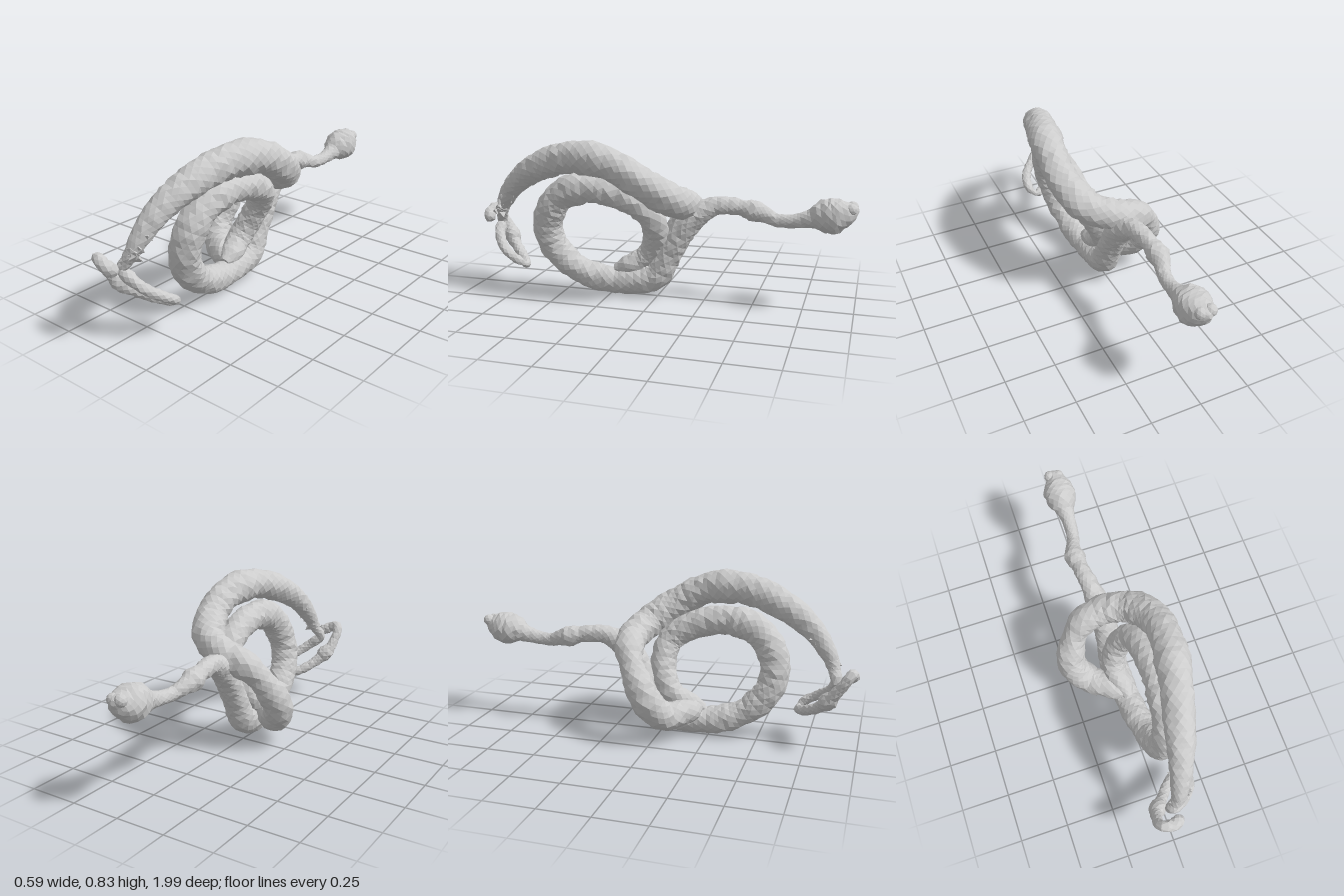
import * as THREE from 'three';

const material = new THREE.MeshStandardMaterial({ color: 0xcccccc, flatShading: true });

// Repeatable noise in -1..1, used to roughen the skin
function noise(i, j) {
  const s = Math.sin(i * 127.1 + j * 311.7) * 43758.5453;
  return (s - Math.floor(s)) * 2 - 1;
}

// Closed tube swept through knots [x, y, z, radius]
function strand(name, knots, steps, sides, rough = 0.06) {
  const curve = new THREE.CatmullRomCurve3(knots.map(k => new THREE.Vector3(k[0], k[1], k[2])));
  const radii = new THREE.CatmullRomCurve3(knots.map(k => new THREE.Vector3(k[3], 0, 0)));
  curve.arcLengthDivisions = 400;
  const frames = curve.computeFrenetFrames(steps, false);
  const pos = [], index = [];
  for (let i = 0; i <= steps; i++) {
    const t = curve.getUtoTmapping(i / steps);
    const p = curve.getPoint(t);
    const r = Math.max(0.004, radii.getPoint(t).x);
    for (let j = 0; j < sides; j++) {
      const a = (j + (i % 2) * 0.5) / sides * Math.PI * 2;
      const rr = r * (1 + rough * noise(i, j));
      const v = p.clone()
        .addScaledVector(frames.normals[i], Math.cos(a) * rr)
        .addScaledVector(frames.binormals[i], Math.sin(a) * rr);
      pos.push(v.x, v.y, v.z);
    }
  }
  for (let i = 0; i < steps; i++) {
    for (let j = 0; j < sides; j++) {
      const k = (j + 1) % sides;
      const a = i * sides + j, b = i * sides + k, c = a + sides, d = b + sides;
      // alternate the diagonal to suit the half-turn between rings
      if (i % 2) index.push(a, b, d, a, d, c);
      else index.push(a, b, c, b, d, c);
    }
  }
  // end caps
  for (const [i, flip] of [[0, true], [steps, false]]) {
    const c = pos.length / 3, p = curve.getPointAt(i / steps);
    pos.push(p.x, p.y, p.z);
    for (let j = 0; j < sides; j++) {
      const a = i * sides + j, b = i * sides + (j + 1) % sides;
      if (flip) index.push(c, b, a);
      else index.push(c, a, b);
    }
  }
  const g = new THREE.BufferGeometry();
  g.setAttribute('position', new THREE.Float32BufferAttribute(pos, 3));
  g.setIndex(index);
  g.computeVertexNormals();
  const mesh = new THREE.Mesh(g, material);
  mesh.name = name;
  return mesh;
}

export function createModel() {
  const model = new THREE.Group();
  model.name = 'coiledSnake';

  // Upper arch, crossing the back and curling down the -x side
  model.add(strand('upperCoil', [
    [0.04, 0.41, 0.865, 0.03], [0.06, 0.49, 0.82, 0.045], [0.095, 0.605, 0.715, 0.062],
    [0.14, 0.698, 0.55, 0.077], [0.185, 0.745, 0.36, 0.08], [0.215, 0.72, 0.17, 0.08],
    [0.207, 0.635, 0.02, 0.08], [0.135, 0.55, -0.1, 0.08], [0.01, 0.5, -0.15, 0.078],
    [-0.12, 0.45, -0.135, 0.074], [-0.2, 0.33, -0.07, 0.074], [-0.215, 0.215, -0.005, 0.076],
    [-0.15, 0.135, 0.06, 0.074], [-0.06, 0.135, 0.14, 0.065], [0.0, 0.135, 0.185, 0.05],
    [0.02, 0.135, 0.21, 0.02],
  ], 90, 13));

  // Lower ring, running into the thin neck
  model.add(strand('lowerCoil', [
    [0.02, 0.135, 0.225, 0.025], [0.01, 0.155, 0.16, 0.055], [-0.01, 0.21, 0.06, 0.062],
    [0.03, 0.33, 0.0, 0.065], [0.1, 0.465, 0.02, 0.068], [0.125, 0.555, 0.16, 0.073],
    [0.13, 0.582, 0.34, 0.076], [0.118, 0.535, 0.48, 0.076], [0.096, 0.41, 0.562, 0.076],
    [0.073, 0.28, 0.56, 0.075], [0.05, 0.16, 0.47, 0.073], [0.03, 0.09, 0.33, 0.073],
    [0.015, 0.075, 0.17, 0.073], [0.005, 0.11, 0.01, 0.074], [0.005, 0.225, -0.06, 0.066],
    [0.005, 0.36, -0.135, 0.064], [0.0, 0.445, -0.21, 0.058], [-0.015, 0.5, -0.3, 0.044],
  ], 110, 13));

  // Neck and rounded head
  model.add(strand('neckAndHead', [
    [0.0, 0.455, -0.2, 0.065], [-0.015, 0.497, -0.3, 0.047], [-0.03, 0.497, -0.4, 0.044],
    [-0.035, 0.472, -0.52, 0.044], [-0.01, 0.445, -0.61, 0.033], [0.0, 0.45, -0.7, 0.035],
    [0.0, 0.465, -0.77, 0.046], [0.0, 0.48, -0.82, 0.077], [0.0, 0.49, -0.88, 0.086],
    [0.0, 0.505, -0.94, 0.062], [-0.005, 0.52, -0.975, 0.035], [-0.01, 0.525, -0.995, 0.012],
  ], 48, 12, 0.07));

  // Nostril bumps on the snout
  for (const [x, y, z] of [[0.02, 0.525, -0.96], [-0.025, 0.53, -0.965]]) {
    const bump = new THREE.Mesh(new THREE.IcosahedronGeometry(0.03, 1), material);
    bump.position.set(x, y, z);
    bump.name = 'snoutBump';
    model.add(bump);
  }

  // Thin tail, folded into a narrow slanting loop
  model.add(strand('tailLoop', [
    [0.055, 0.45, 0.845, 0.04], [0.025, 0.39, 0.87, 0.03], [0.0, 0.35, 0.88, 0.028],
    [0.05, 0.305, 0.87, 0.028], [0.1, 0.265, 0.84, 0.026], [0.145, 0.225, 0.79, 0.025],
    [0.155, 0.175, 0.71, 0.024], [0.12, 0.15, 0.69, 0.024], [0.05, 0.17, 0.74, 0.027],
    [-0.02, 0.225, 0.82, 0.03], [-0.065, 0.29, 0.87, 0.03], [-0.08, 0.36, 0.92, 0.026],
    [-0.07, 0.405, 0.95, 0.027], [-0.02, 0.39, 0.96, 0.03], [0.02, 0.37, 0.945, 0.032],
    [0.04, 0.365, 0.935, 0.012],
  ], 60, 8, 0.1));

  // Ragged scales where the tail narrows
  for (let i = 0; i < 18; i++) {
    const t = i / 17;
    const scale = new THREE.Mesh(new THREE.TetrahedronGeometry(0.022), material);
    scale.position.set(
      0.045 + 0.03 * t + 0.04 * noise(i, 1), 0.4 + 0.14 * t, 0.87 - 0.09 * t + 0.035 * noise(i, 2));
    scale.rotation.set(i * 1.3, i * 2.1, i * 0.7);
    scale.name = 'tailScale';
    model.add(scale);
  }

  return model;
}
